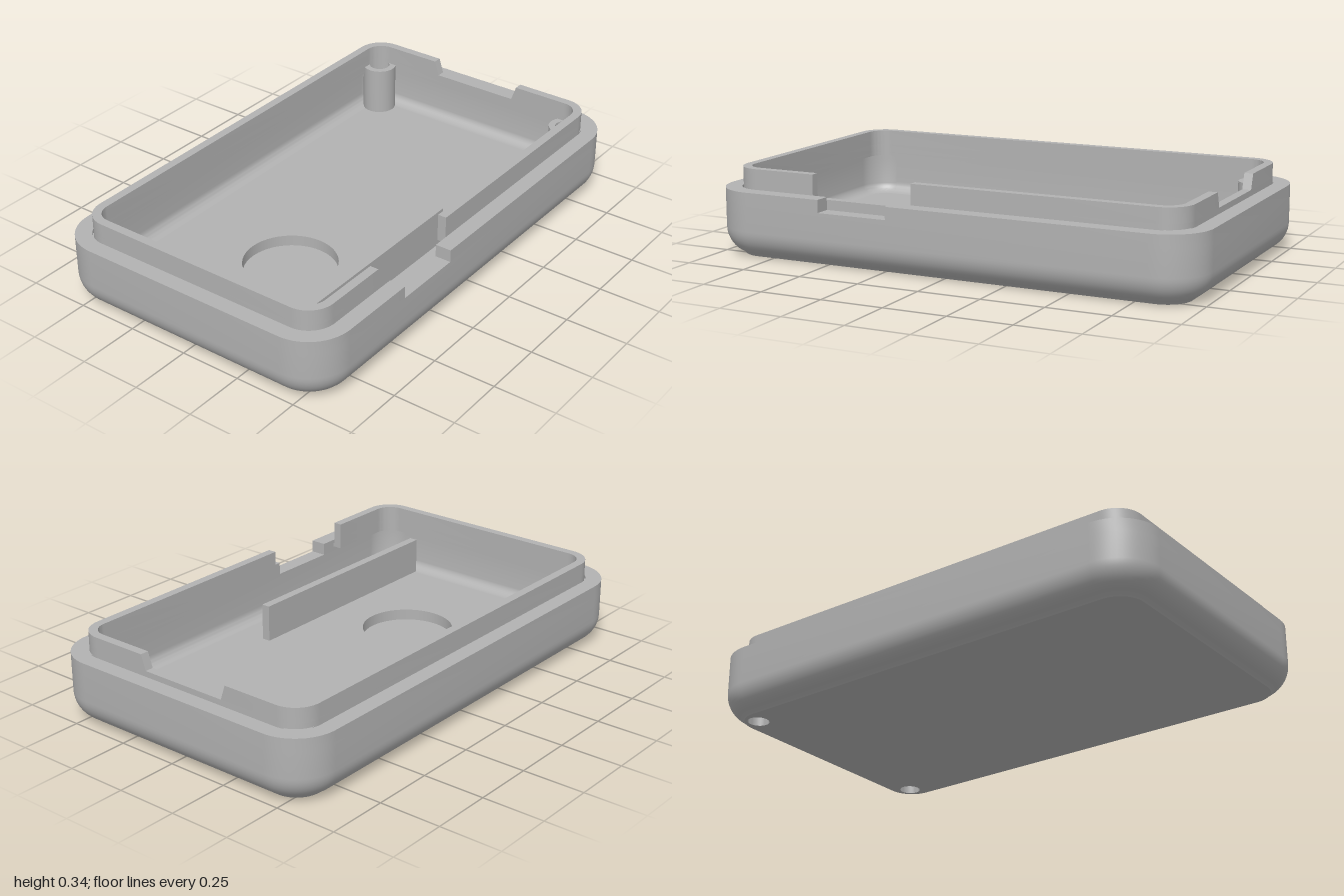
import * as THREE from 'three';
import { toCreasedNormals } from 'three/addons/utils/BufferGeometryUtils.js';

const HX = 0.615, HZ = 1, R = 0.175, N = 14;     // outer half sizes, corner radius, corner segments
const BOSS = { x: 0.473, z: -0.858, r: 0.07, hole: 0.043 };
const GAP = [0.21, 0.5], LIP_GAP = [0.14, 0.565]; // cut-outs on the left wall, along z

// Rounded rectangle inset by d, as [x, z] points starting and ending on the +x side
function outline(d) {
  const r = R - d, pts = [];
  [[1, 1], [-1, 1], [-1, -1], [1, -1]].forEach(([sx, sz], k) => {
    for (let i = 0; i <= N; i++) {
      const a = (k + i / N) * Math.PI / 2;
      pts.push([sx * (HX - R) + r * Math.cos(a), sz * (HZ - R) + r * Math.sin(a)]);
    }
  });
  return pts;
}

// Skin through rounded rectangles, one per [inset, y] of the profile
function loft(profile, skip) {
  const rings = profile.map(([d, y]) => outline(d).map(([x, z]) => new THREE.Vector3(x, y, z)));
  const pos = [];
  const tri = (a, b, c) => {
    const m = a.clone().add(b).add(c).divideScalar(3);
    if (!skip(m)) pos.push(...a, ...b, ...c);
  };
  for (let j = 0; j < rings.length - 1; j++) {
    const lo = rings[j], hi = rings[j + 1];
    lo.forEach((a, i) => {
      const k = (i + 1) % lo.length;
      tri(a, hi[i], lo[k]);
      tri(lo[k], hi[i], hi[k]);
    });
  }
  const g = new THREE.BufferGeometry();
  g.setAttribute('position', new THREE.Float32BufferAttribute(pos, 3));
  return g;
}

// Flat horizontal face with round holes [x, z, radius]
function plate(pts, holes, y, up) {
  const s = up ? -1 : 1;
  const shape = new THREE.Shape(pts.map(([x, z]) => new THREE.Vector2(x, s * z)));
  holes.forEach(([x, z, r]) => shape.holes.push(new THREE.Path().absarc(x, s * z, r, 0, Math.PI * 2)));
  return new THREE.ShapeGeometry(shape, 24).rotateX(s * Math.PI / 2).translate(0, y, 0);
}

// Vertical wall between two open outlines
function wall(outer, inner, y0, y1) {
  const shape = new THREE.Shape([...outer, ...inner.reverse()].map(p => new THREE.Vector2(...p)));
  return new THREE.ExtrudeGeometry(shape, { depth: y1 - y0, bevelEnabled: false })
    .rotateX(Math.PI / 2).translate(0, y1, 0);
}

// Ring open on the left side between z0 and z1
const openRing = (d, [z0, z1]) => [[HX - d, z1], ...outline(d), [HX - d, z0]];

export function createModel() {
  const group = new THREE.Group();
  const grey = new THREE.MeshStandardMaterial({ color: 0xb2b2b2, side: THREE.DoubleSide });
  grey.name = 'grey plastic';
  const add = (name, geometry, smooth = true) => {
    const mesh = new THREE.Mesh(smooth ? toCreasedNormals(geometry, 0.5) : geometry, grey);
    mesh.name = name;
    group.add(mesh);
    return mesh;
  };

  // Shell: rounded outside, step at the notch level, rounded inside
  const profile = [], steps = 10, a0 = 0.343;
  for (let i = 0; i <= steps; i++) {
    const a = a0 + (Math.PI / 2 - a0) * i / steps;
    profile.push([0.11 * (1 - Math.sin(a)), i ? 0.11 * (1 - Math.cos(a)) : 0]);
  }
  const bottomInset = profile[0][0];
  profile.push([0, 0.215], [0.065, 0.215]);
  for (let i = 0; i <= steps; i++) {
    const a = Math.PI / 2 * i / steps;
    profile.push([0.065 + 0.045 * (1 - Math.cos(a)), 0.065 + 0.045 * (1 - Math.sin(a))]);
  }
  // leave the inner fillet open where the screw posts stand
  const inPost = p => p.y > 0.06 && p.y < 0.12 &&
    Math.hypot(Math.abs(p.x) - BOSS.x, p.z - BOSS.z) < 0.056;
  add('shell', loft(profile, inPost));
  add('shellRim', wall(openRing(0, GAP), openRing(0.065, GAP), 0.215, 0.265));

  // Underside with two screw holes
  add('underside', plate(outline(bottomInset),
    [-1, 1].map(s => [s * BOSS.x, BOSS.z, BOSS.hole]), 0, false), false);

  // Floor, scooped around the screw posts, with a round recess
  const arc = [], dx = 0.505 - BOSS.x, dz = Math.sqrt(0.058 ** 2 - dx ** 2);
  const s0 = Math.atan2(dz, -dx), s1 = Math.atan2(-dx, dz);
  for (let i = 0; i <= 16; i++) {
    const a = s0 + (s1 - s0) * i / 16;
    arc.push([-BOSS.x + 0.058 * Math.cos(a), BOSS.z + 0.058 * Math.sin(a)]);
  }
  const mirrored = arc.map(([x, z]) => [-x, z]).reverse();
  const floorLine = [...outline(0.11).slice(0, 2 * (N + 1)), ...arc, ...mirrored];
  add('floor', plate(floorLine, [[0, 0.38, 0.185]], 0.065, true), false);
  add('recessWall', new THREE.CylinderGeometry(0.185, 0.185, 0.045, 48, 1, true)
    .translate(0, 0.0425, 0.38), false);
  add('recessBottom', new THREE.CircleGeometry(0.185, 48).rotateX(-Math.PI / 2)
    .translate(0, 0.02, 0.38), false);

  // Hollow screw posts in the back corners
  const post = [[BOSS.hole, 0], [BOSS.r, 0.035], [BOSS.r, 0.265], [BOSS.hole, 0.265], [BOSS.hole, 0]]
    .map(p => new THREE.Vector2(...p));
  for (const s of [-1, 1]) {
    add('screwPost', new THREE.LatheGeometry(post, 32)).position.set(s * BOSS.x, 0, BOSS.z);
  }

  // Raised lip: root joined to the shell, lower band, and upper band split by the back notch
  add('lipRoot', wall(openRing(0.063, LIP_GAP), openRing(0.105, LIP_GAP), 0.235, 0.25));
  add('lipLower', wall(openRing(0.07, LIP_GAP), openRing(0.105, LIP_GAP), 0.25, 0.285));
  const long = d => [[HX - d, LIP_GAP[1]], ...outline(d).slice(0, 3 * (N + 1)), [-0.205, d - HZ]];
  const short = d => [[0.205, d - HZ], ...outline(d).slice(3 * (N + 1)), [HX - d, LIP_GAP[0]]];
  for (const part of [long, short]) {
    const g = wall(part(0.07), part(0.105), 0.285, 0.345), p = g.attributes.position;
    // slope the notch ends
    for (let i = 0; i < p.count; i++) {
      if (p.getY(i) < 0.3 && Math.abs(p.getX(i)) < 0.21 && p.getZ(i) < -0.8) {
        p.setX(i, p.getX(i) * 0.9);
      }
    }
    add('lipUpper', g);
  }

  // Inner divider rib
  add('divider', new THREE.BoxGeometry(0.035, 0.155, 0.985).translate(0.367, 0.1375, 0.4075), false);

  return group;
}
